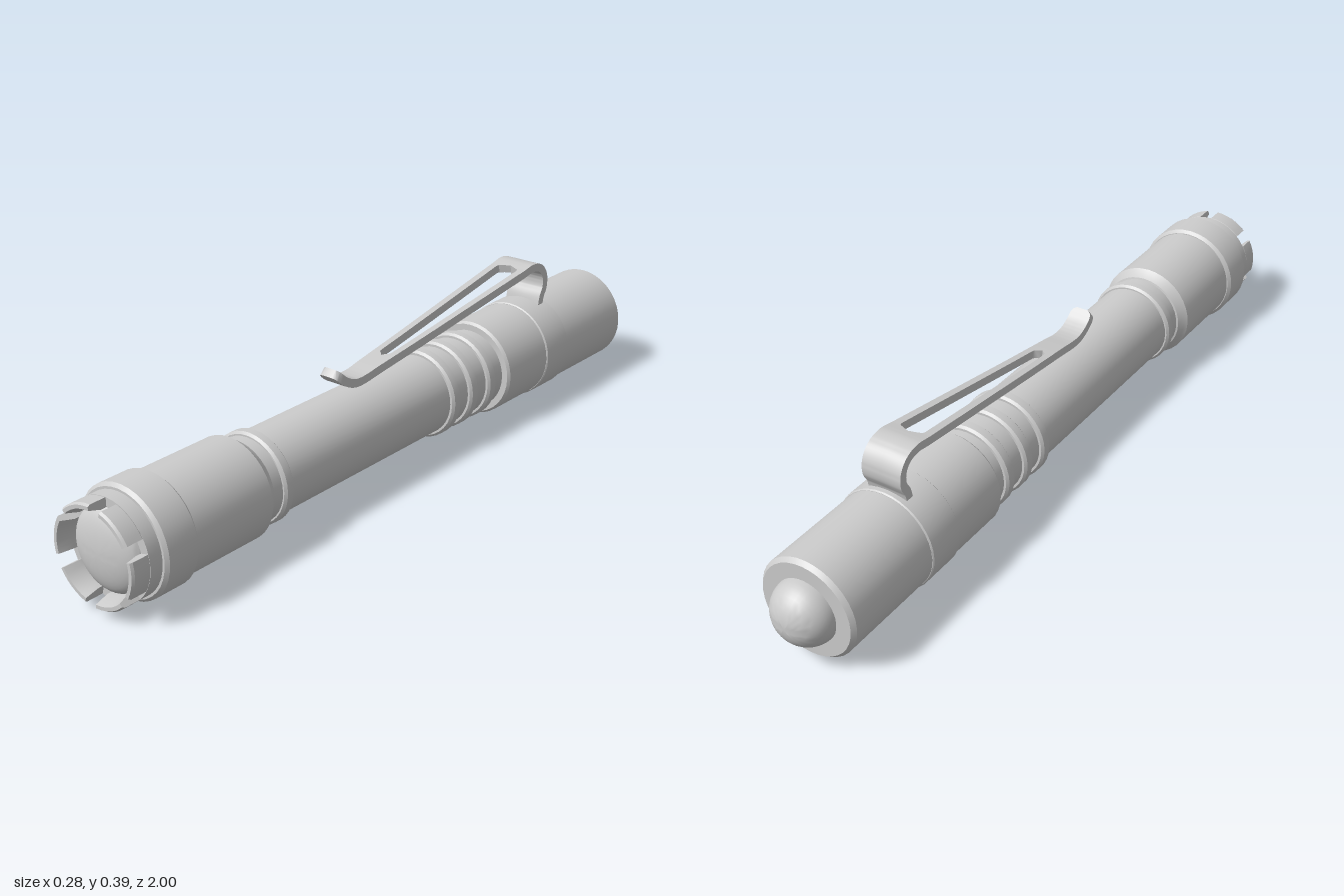
import * as THREE from 'three';
import { mergeGeometries, toCreasedNormals } from 'three/addons/utils/BufferGeometryUtils.js';

const AXIS_Y = 0.14;
const SEG = 36;
const grey = new THREE.MeshStandardMaterial({ color: 0xcccccc });
const greyDouble = new THREE.MeshStandardMaterial({ color: 0xcccccc, side: THREE.DoubleSide });
const rad = THREE.MathUtils.degToRad;
const vecs = (pts) => pts.map(([r, z]) => new THREE.Vector2(r, z));

// Turned part: profile of [radius, z], running from back to front
function turned(name, pts, crease = 0.5) {
  const geo = toCreasedNormals(new THREE.LatheGeometry(vecs(pts), SEG), crease);
  geo.rotateX(Math.PI / 2);
  const mesh = new THREE.Mesh(geo, grey);
  mesh.name = name;
  return mesh;
}

// Raised band with slightly bevelled edges
function band(name, z0, z1, r, inner, b = 0.006) {
  return turned(name, [[inner, z0], [r - b, z0], [r, z0 + b], [r, z1 - b], [r - b, z1], [inner, z1]]);
}

// Dome of given base radius and height, pointing along +z or -z
function dome(name, r, h, z, dir) {
  const pts = [];
  for (let i = 0; i <= 10; i++) {
    const a = (i / 10) * Math.PI / 2;
    pts.push([r * Math.cos(a), z + dir * h * Math.sin(a)]);
  }
  pts[10][0] = 0;
  return turned(name, dir > 0 ? pts : pts.reverse(), 1);
}

// One crown tooth: closed profile swept through part of a turn, with end caps
function toothGeometry(start, length) {
  const pts = [[0.123, 0.945], [0.126, 0.952], [0.126, 0.994], [0.122, 1], [0.113, 1], [0.102, 0.965], [0.102, 0.945]];
  const sweep = new THREE.LatheGeometry(vecs([...pts, pts[0]]), 6, start, length);
  const caps = [start, start + length].map((phi) =>
    new THREE.ShapeGeometry(new THREE.Shape(vecs(pts))).rotateY(phi - Math.PI / 2));
  const parts = [sweep, ...caps].map((g) => toCreasedNormals(g, 0.4));
  return mergeGeometries(parts).rotateX(Math.PI / 2);
}

// Half of the slotted clip (x >= 0): four-cornered sections along a bent path
function clipHalfGeometry() {
  const path = new THREE.CatmullRomCurve3([
    [0.315, 0.228], [0.29, 0.2], [0.274, 0.165], [0.272, 0.13], [0.281, 0.07], [0.303, -0.08], [0.34, -0.32],
    [0.371, -0.52], [0.379, -0.575], [0.368, -0.61], [0.342, -0.629], [0.31, -0.63], [0.285, -0.617], [0.255, -0.61],
  ].map(([y, z]) => new THREE.Vector3(0, y, z)), false, 'centripetal');
  const N = 150, T = 0.011, pos = [], idx = [];
  const SLOT0 = 0.02, SLOT1 = -0.535;
  for (let i = 0; i <= N; i++) {
    const p = path.getPointAt(i / N), t = path.getTangentAt(i / N);
    const ny = -t.z * T, nz = t.y * T;
    const k = THREE.MathUtils.clamp((0.12 - p.z) / 0.67, 0, 1);
    let outer = 0.03 + 0.024 * k;
    const tip = i / N / 0.025;
    if (tip < 1) outer -= 0.014 * (1 - Math.sqrt(1 - (1 - tip) ** 2));
    // slot edge with rounded ends, closed elsewhere and never on the hook's return
    let inner = 0;
    if (p.z < SLOT0 && p.z > SLOT1) {
      const w = 0.013 + 0.021 * k;
      const e = Math.min(1, (SLOT0 - p.z) / 0.015, (p.z - SLOT1) / 0.015);
      inner = w * Math.sqrt(1 - (1 - e) ** 2);
    }
    pos.push(inner, p.y + ny, p.z + nz, outer, p.y + ny, p.z + nz,
      outer, p.y - ny, p.z - nz, inner, p.y - ny, p.z - nz);
    if (i < N) {
      for (let j = 0; j < 4; j++) {
        const a = i * 4 + j, b = i * 4 + (j + 1) % 4;
        idx.push(a, b, b + 4, a, b + 4, a + 4);
      }
    }
  }
  const e = N * 4;
  idx.push(0, 2, 1, 0, 3, 2, e, e + 1, e + 2, e, e + 2, e + 3);
  const geo = new THREE.BufferGeometry();
  geo.setAttribute('position', new THREE.Float32BufferAttribute(pos, 3));
  geo.setIndex(idx);
  return toCreasedNormals(geo, 0.6);
}

export function createModel() {
  const model = new THREE.Group();
  const light = new THREE.Group();
  light.name = 'flashlight';
  light.position.y = AXIS_Y;
  model.add(light);

  // Barrel and its grip rings
  light.add(turned('barrel', [[0.108, -0.37], [0.108, 0.56]]));
  for (const z of [-0.14, -0.217, -0.297]) light.add(band('gripRing', z - 0.017, z + 0.017, 0.12, 0.1));
  light.add(band('neckRing', 0.486, 0.518, 0.118, 0.1));

  // Head with collar and bezel
  light.add(turned('head', [[0.1, 0.548], [0.113, 0.552], [0.122, 0.568], [0.13, 0.576], [0.13, 0.825]]));
  light.add(band('headCollar', 0.815, 0.915, 0.14, 0.11, 0.008));
  light.add(turned('bezel', [[0.126, 0.9], [0.126, 0.95], [0.102, 0.95], [0.102, 0.92]]));

  // Crown of six teeth around the lens
  const crown = new THREE.Group();
  crown.name = 'crown';
  for (let i = 0; i < 6; i++) {
    const tooth = new THREE.Mesh(toothGeometry(rad(180 + 60 * i), rad(44)), greyDouble);
    tooth.name = 'crownTooth';
    crown.add(tooth);
  }
  light.add(crown);
  light.add(dome('lens', 0.104, 0.04, 0.945, 1));

  // Tail cap, clip band and push button
  light.add(turned('tailCap', [[0, -0.925], [0.122, -0.925], [0.131, -0.914], [0.131, -0.362], [0.125, -0.355], [0.1, -0.355]]));
  light.add(band('clipBand', -0.64, -0.535, 0.135, 0.12, 0.003));
  light.add(dome('tailButton', 0.083, 0.075, -0.925, -1));

  // Pocket clip, mirrored halves
  const clip = new THREE.Group();
  clip.name = 'pocketClip';
  const half = clipHalfGeometry();
  for (const side of [1, -1]) {
    const mesh = new THREE.Mesh(half, greyDouble);
    mesh.name = side > 0 ? 'clipLeft' : 'clipRight';
    mesh.scale.x = side;
    clip.add(mesh);
  }
  model.add(clip);
  return model;
}
